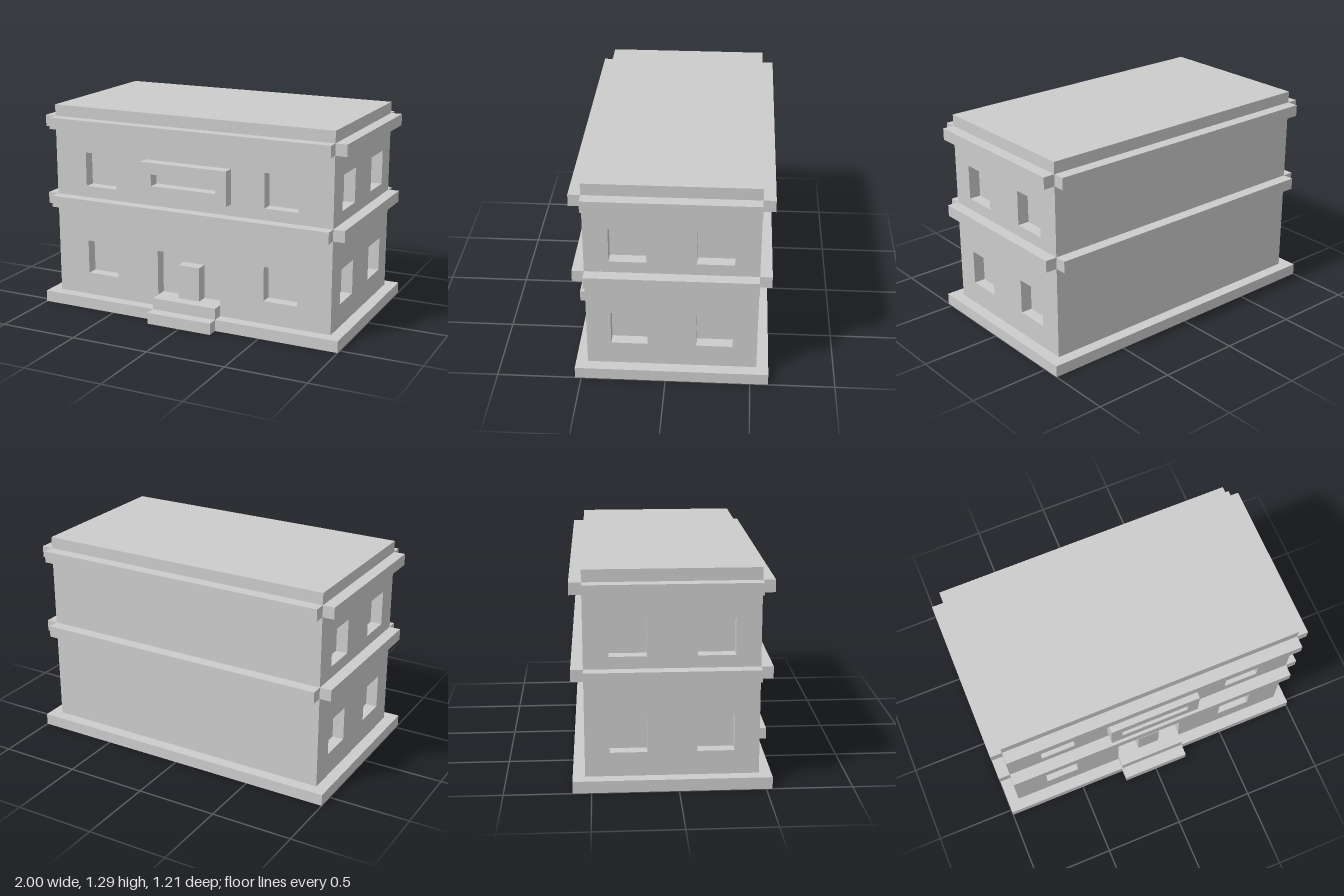
import * as THREE from 'three';

// One module of the design grid: every dimension below is a multiple of it.
const U = 1 / 14;
const BACK = -7.5, FRONT = 6.5, SIDE = 13, FLOOR = 1, ROOF = 18;

const material = new THREE.MeshStandardMaterial({ color: 0xcccccc, flatShading: true });

// Box given by its minimum and maximum corners, in modules
function block(name, [x0, y0, z0], [x1, y1, z1]) {
  const mesh = new THREE.Mesh(
    new THREE.BoxGeometry((x1 - x0) * U, (y1 - y0) * U, (z1 - z0) * U), material);
  mesh.position.set((x0 + x1) / 2 * U, (y0 + y1) / 2 * U, (z0 + z1) / 2 * U);
  mesh.name = name;
  return mesh;
}

function rectangle(Type, [x0, y0, x1, y1]) {
  const corners = [[x0, y0], [x1, y0], [x1, y1], [x0, y1]];
  return new Type(corners.map(([x, y]) => new THREE.Vector2(x * U, y * U)));
}

// Panel one module thick, with rectangular openings, extruded towards +z
function panel(name, outline, openings) {
  const shape = rectangle(THREE.Shape, outline);
  shape.holes = openings.map((o) => rectangle(THREE.Path, o));
  const mesh = new THREE.Mesh(
    new THREE.ExtrudeGeometry(shape, { depth: U, bevelEnabled: false }), material);
  mesh.name = name;
  return mesh;
}

// Square windows on both storeys, from the left edge of each column
function windows(columns) {
  return columns.flatMap((x) => [3, 11].map((y) => [x, y, x + 3, y + 3]));
}

export function createModel() {
  const model = new THREE.Group();
  model.name = 'building';

  // Plinth and inner core, whose faces close the backs of the recesses
  model.add(block('plinth', [-14, 0, BACK - 1], [14, FLOOR, FRONT + 1]));
  model.add(block('core', [-SIDE + 1, FLOOR, BACK], [SIDE - 1, ROOF, FRONT - 1]));

  // Front wall with windows and the entrance recess
  const frontWall = panel('frontWall', [-SIDE, FLOOR, SIDE, ROOF],
    [...windows([-10, 7]), [-3, 2, 3, 6]]);
  frontWall.position.z = (FRONT - 1) * U;
  model.add(frontWall);

  // Side walls: panel x runs towards -z on the left, towards +z on the right
  const leftWall = panel('leftWall', [-FRONT + 1, FLOOR, -BACK, ROOF], windows([-4.5, 2.5]));
  leftWall.rotation.y = Math.PI / 2;
  leftWall.position.x = (SIDE - 1) * U;
  const rightWall = panel('rightWall', [BACK, FLOOR, FRONT - 1, ROOF], windows([-5.5, 1.5]));
  rightWall.rotation.y = -Math.PI / 2;
  rightWall.position.x = -(SIDE - 1) * U;
  model.add(leftWall, rightWall);

  // Ledges around each storey, leaving the corners notched
  for (const [name, y] of [['middleLedge', 9], ['roofLedge', 16]]) {
    const ledge = new THREE.Group();
    ledge.name = name;
    ledge.add(
      block('ledgeFront', [-SIDE, y, FRONT], [SIDE, y + 1, FRONT + 1]),
      block('ledgeBack', [-SIDE, y, BACK - 1], [SIDE, y + 1, BACK]),
      block('ledgeLeft', [SIDE, y, BACK], [SIDE + 1, y + 1, FRONT]),
      block('ledgeRight', [-SIDE - 1, y, BACK], [-SIDE, y + 1, FRONT]));
    model.add(ledge);
  }

  // Entrance: door block standing in the recess, and two steps
  model.add(block('door', [-1, 2, FRONT - 1], [1, 5, FRONT]));
  model.add(block('upperStep', [-3, 1, FRONT], [3, 2, FRONT + 1]));
  model.add(block('lowerStep', [-3, 0, FRONT + 1], [3, 1, FRONT + 2]));

  // Raised frame above the entrance
  const signFrame = panel('signFrame', [-4, 11, 4, 14], [[-3, 12, 3, 13]]);
  signFrame.position.z = FRONT * U;
  model.add(signFrame);

  return model;
}
